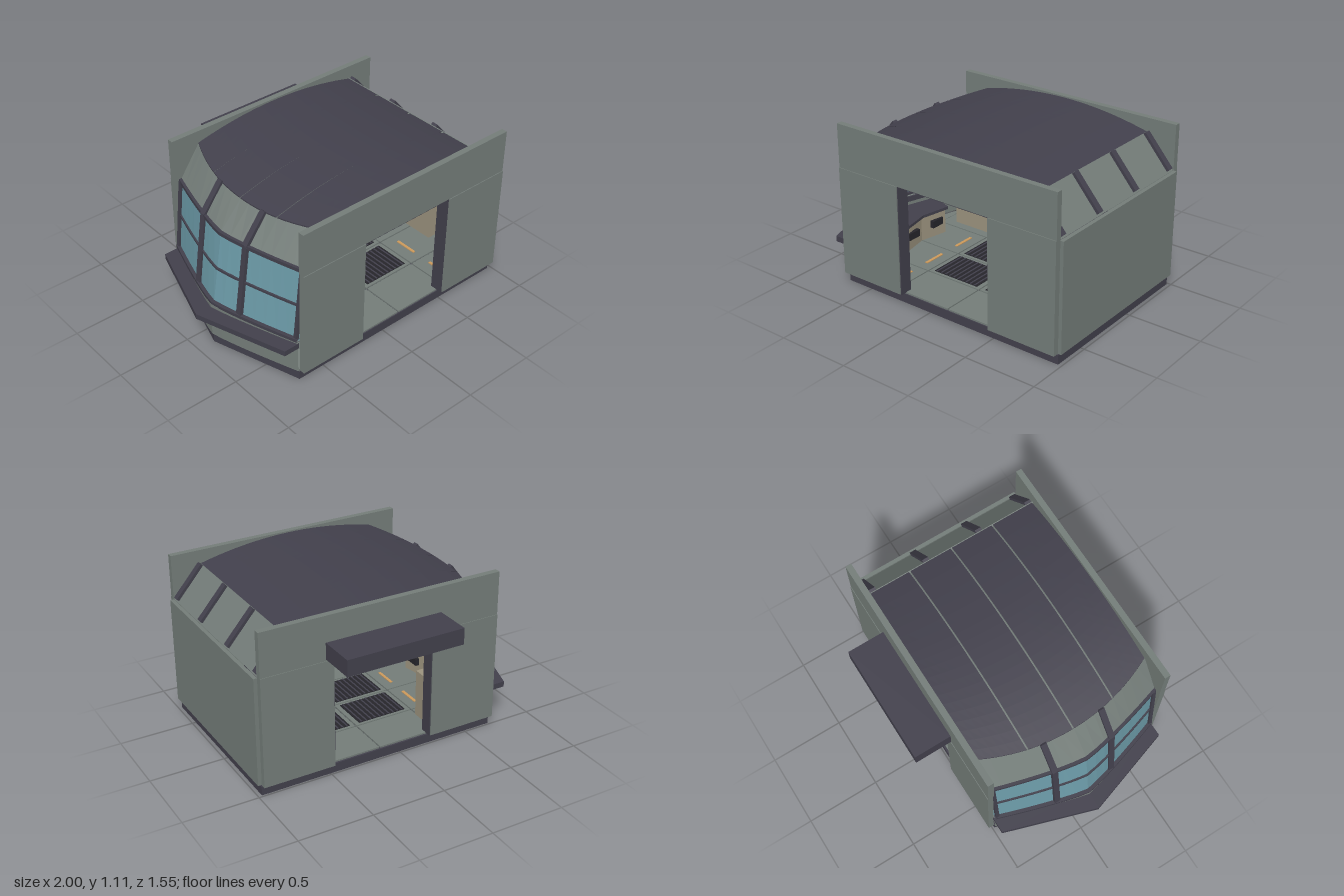
import * as THREE from 'three';

const mat = (name, color) => {
  const m = new THREE.MeshStandardMaterial({ color, side: THREE.DoubleSide });
  m.name = name;
  return m;
};

export function createModel() {
  const grey = mat('wall grey', 0x747d79);
  const dark = mat('dark trim', 0x42404c);
  const glass = mat('window glass', 0x6c9ba8);
  const black = mat('grate black', 0x26252b);
  const amber = mat('amber light', 0xcc9a5c);
  const beige = mat('console beige', 0x9c937e);

  const root = new THREE.Group();
  const V = (x, y, z) => new THREE.Vector3(x, y, z);
  const add = (name, geo, m) => {
    const mesh = new THREE.Mesh(geo, m);
    mesh.name = name;
    root.add(mesh);
    return mesh;
  };
  // Box given by its minimum and maximum on each axis
  const box = (name, m, x0, x1, y0, y1, z0, z1) =>
    add(name, new THREE.BoxGeometry(x1 - x0, y1 - y0, z1 - z0), m)
      .position.set((x0 + x1) / 2, (y0 + y1) / 2, (z0 + z1) / 2);
  // Straight bar between two points
  const beam = (name, m, a, b, w, h) => {
    const mesh = add(name, new THREE.BoxGeometry(w, h, a.distanceTo(b)), m);
    mesh.position.copy(a).add(b).multiplyScalar(0.5);
    mesh.lookAt(b);
  };
  // Faceted skin through rows of points
  const loft = (name, m, rows) => {
    const pts = rows.flat(), n = rows[0].length, idx = [];
    for (let i = 0; i < rows.length - 1; i++)
      for (let j = 0; j < n - 1; j++) {
        const a = i * n + j, b = a + n;
        idx.push(a, b, a + 1, b, b + 1, a + 1);
      }
    let geo = new THREE.BufferGeometry().setFromPoints(pts);
    geo.setIndex(idx);
    geo = geo.toNonIndexed();
    geo.computeVertexNormals();
    return add(name, geo, m);
  };
  // Flat plate cut from an outline of [x, z] points
  const plate = (name, m, outline, y0, y1) => {
    const shape = new THREE.Shape(outline.map(([x, z]) => new THREE.Vector2(x, -z)));
    const geo = new THREE.ExtrudeGeometry(shape, { depth: y1 - y0, bevelEnabled: false });
    geo.rotateX(-Math.PI / 2).translate(0, y0, 0);
    return add(name, geo, m);
  };

  const ZB = -0.487, ZF = 0.732, ZM = 0.122;
  // Bowed outlines of the bay: x for a given z
  const bow = (tip, end, p) => z =>
    tip + (end - tip) * Math.min(1, Math.abs(z - ZM) / 0.61) ** p;
  const sill = bow(-0.89, -0.7, 1.15);
  const winLow = bow(-0.865, -0.69, 1.2);
  const winTop = bow(-0.785, -0.64, 1.3);
  const roofEdge = bow(-0.63, -0.49, 2.1);
  const roofY = x => 1.105 - 0.195 * (x - 0.12) ** 2;
  const steps = (a, b, n) => Array.from({ length: n + 1 }, (_, i) => a + (b - a) * i / n);
  const zs = steps(ZB, ZF, 16);

  // Base slab and floor tiles
  plate('baseSlab', dark, [[-0.69, ZB], [0.975, ZB], [0.975, ZF], [-0.69, ZF], [-0.88, ZM]], 0, 0.062);
  const fx = [-0.69, -0.28, 0.14, 0.55, 0.97], fz = [-0.48, -0.185, 0.12, 0.425, 0.73];
  for (let i = 0; i < 4; i++)
    for (let j = 0; j < 4; j++) {
      const x0 = fx[i] + 0.005, x1 = fx[i + 1] - 0.005, z0 = fz[j] + 0.005, z1 = fz[j + 1] - 0.005;
      box('floorTile', grey, x0, x1, 0.06, 0.073, z0, z1);
      const inner = i === 1 || i === 2;
      if (inner && (j === 1 || j === 2)) {
        box('floorGrate', black, x0 + 0.03, x1 - 0.03, 0.073, 0.077, z0 + 0.02, z1 - 0.02);
        for (const x of steps(x0 + 0.05, x1 - 0.05, 9))
          box('grateBar', dark, x - 0.005, x + 0.005, 0.077, 0.08, z0 + 0.02, z1 - 0.02);
      }
      if (!inner) {
        const x = i === 0 ? -0.36 : 0.65, z = (z0 + z1) / 2;
        box('floorLight', amber, x - 0.01, x + 0.01, 0.073, 0.078, z - 0.08, z + 0.08);
      }
    }
  plate('bayFloor', grey, [[-0.69, ZB], [-0.69, ZF], [-0.87, ZM]], 0.062, 0.072);

  // Front and back walls, each with a doorway
  const wall = (name, lo0, lo1, up0, up1, jamb0, jamb1) => {
    box(name + 'LeftPart', grey, 0.49, 0.975, 0.075, 0.817, lo0, lo1);
    box(name + 'RightPart', grey, -0.69, -0.21, 0.075, 0.817, lo0, lo1);
    box(name + 'Parapet', grey, -0.69, 0.975, 0.817, 1.112, up0, up1);
    box('doorJamb', dark, -0.222, -0.204, 0.07, 0.817, jamb0, jamb1);
    box('doorJamb', dark, 0.484, 0.502, 0.07, 0.817, jamb0, jamb1);
    box('doorHeader', dark, -0.222, 0.502, 0.812, 0.85, jamb0, jamb1);
  };
  wall('frontWall', 0.735, 0.775, 0.73, 0.77, 0.68, 0.768);
  wall('backWall', -0.528, -0.49, -0.524, -0.483, -0.52, -0.435);
  box('awning', dark, -0.262, 0.543, 0.828, 0.938, -0.775, -0.523);

  // Left side wall with a ribbed slope up to the roof
  box('sideWall', grey, 0.972, 0.998, 0.075, 0.806, ZB, 0.735);
  beam('sideSlope', grey, V(0.962, 0.8, ZM), V(0.772, 1.02, ZM), ZF - ZB, 0.015);
  for (const z of [0.7, 0.328, -0.062, -0.45])
    beam('slopeRib', dark, V(0.962, 0.815, z), V(0.78, 1.025, z), 0.044, 0.035);

  // Arched roof panels with exposed ribs in the joints
  const rz = [-0.483, -0.187, 0.118, 0.423, 0.73];
  for (let k = 0; k < 4; k++) {
    const rows = steps(rz[k] + 0.005, rz[k + 1] - 0.005, 6).map(z => {
      const xs = steps(roofEdge(z), 0.78, 20);
      const top = xs.map(x => V(x, roofY(x), z));
      const under = xs.map(x => V(x, roofY(x) - 0.026, z)).reverse();
      return [...top, ...under, top[0]];
    });
    loft('roofPanel', dark, rows);
    const z = (rz[k] + rz[k + 1]) / 2;
    for (const x of [-0.22, 0.4])
      beam('ceilingLight', amber, V(x - 0.09, roofY(x - 0.09) - 0.036, z),
        V(x + 0.09, roofY(x + 0.09) - 0.036, z), 0.17, 0.008);
    if (k) {
      const path = new THREE.CatmullRomCurve3(
        steps(roofEdge(rz[k]) + 0.01, 0.775, 8).map(x => V(x, roofY(x) - 0.035, rz[k])));
      add('roofRib', new THREE.TubeGeometry(path, 24, 0.022, 8), grey);
    }
  }

  // Bay: low wall, sloped glass and upper slope
  const line = (f, y) => zs.map(z => V(f(z), y, z));
  loft('bayWall', grey, [line(sill, 0.07), line(sill, 0.31), line(z => sill(z) + 0.06, 0.312)]);
  loft('bayGlass', glass, [line(winLow, 0.31), line(winTop, 0.81)]);
  loft('baySlope', grey, [line(winTop, 0.815), zs.map(z => V(roofEdge(z), roofY(roofEdge(z)) - 0.008, z))]);

  // Bent rails around the glass
  const rail = (name, f, y, w, h) => {
    const at = (dx, dy) => zs.map(z => V(f(z) + dx * w / 2, y + dy * h / 2, z));
    loft(name, dark, [at(-1, -1), at(-1, 1), at(1, 1), at(1, -1), at(-1, -1)]);
  };
  rail('windowBottomRail', winLow, 0.318, 0.045, 0.022);
  rail('windowMiddleRail', z => (winLow(z) + winTop(z)) / 2, 0.562, 0.022, 0.014);
  rail('windowTopRail', winTop, 0.81, 0.03, 0.024);

  // Mullions with matching ribs on the slope above
  for (const z of [-0.47, -0.09, 0.325, 0.715]) {
    const mid = Math.abs(z - ZM) < 0.4;
    beam('mullion', dark, V(winLow(z), 0.315, z), V(winTop(z), 0.81, z), mid ? 0.04 : 0.024, 0.035);
    if (mid) beam('baySlopeRib', dark, V(winTop(z) - 0.005, 0.812, z),
      V(roofEdge(z) + 0.005, roofY(roofEdge(z)), z), 0.04, 0.035);
  }

  // Pointed ledge outside the windows
  plate('outerLedge', dark, [[-0.8, -0.495], [-1, ZM - 0.004], [-0.8, 0.73], [-0.69, 0.73],
    [-0.87, ZM], [-0.69, -0.495]], 0.25, 0.288);

  // Control desk behind the windows
  plate('controlDesk', beige, [[-0.7, -0.12], [-0.56, -0.08], [-0.6, ZM], [-0.56, 0.33], [-0.7, 0.37], [-0.78, ZM]], 0.073, 0.25);
  plate('deskTop', dark, [[-0.71, -0.14], [-0.54, -0.09], [-0.58, ZM], [-0.54, 0.34], [-0.71, 0.39], [-0.79, ZM]], 0.25, 0.27);
  for (const z of [0, 0.24]) box('deskPanel', black, -0.583, -0.555, 0.15, 0.2, z - 0.05, z + 0.05);

  // Equipment cabinets
  box('cabinet', beige, -0.6, -0.27, 0.073, 0.4, -0.46, -0.25);
  box('cabinetVent', black, -0.51, -0.36, 0.19, 0.24, -0.25, -0.246);
  for (const x of steps(-0.49, -0.38, 4))
    box('cabinetButton', beige, x - 0.008, x + 0.008, 0.207, 0.223, -0.246, -0.243);
  box('sideCabinet', beige, 0.84, 0.965, 0.073, 0.32, 0.02, 0.3);

  return root;
}
